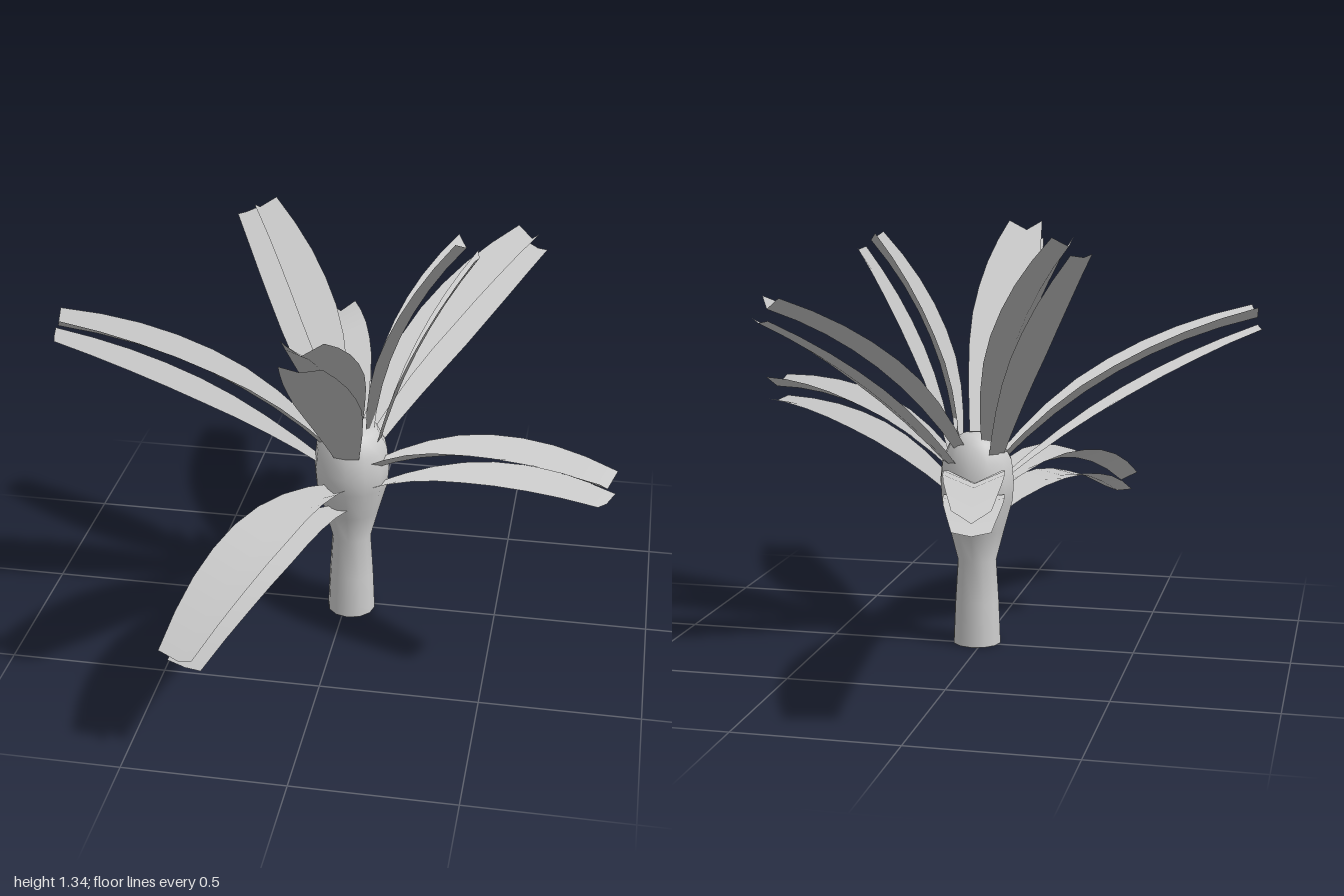
import * as THREE from 'three';

const leafMaterial = new THREE.MeshStandardMaterial({ color: 0xcccccc, side: THREE.DoubleSide });
leafMaterial.name = 'pale grey';

const CENTRE = 0.02; // the stem stands at x = z = 0.02
const ROWS = 8;
const WIDTHS = [0.35, 0.55, 0.74, 0.9, 1, 0.99, 0.92, 0.78, 0.6];

// One arched blade: a bezier spine with a V-shaped cross-section
function blade({ base, tip, bulge, halfWidth, fold }) {
  const dx = tip[0] - CENTRE, dz = tip[2] - CENTRE;
  const reach = Math.hypot(dx, dz);
  const ox = dx / reach, oz = dz / reach;
  const p0 = new THREE.Vector2(base[0], base[1]);
  const p2 = new THREE.Vector2(reach, tip[1]);
  const chord = p2.clone().sub(p0).normalize();
  const p1 = p0.clone().add(p2).multiplyScalar(0.5)
    .add(new THREE.Vector2(-chord.y, chord.x).multiplyScalar(bulge * 2));
  const spine = new THREE.QuadraticBezierCurve(p0, p1, p2);

  const positions = [], normals = [], indices = [];
  for (let i = 0; i <= ROWS; i++) {
    const t = i / ROWS;
    const p = spine.getPoint(t), d = spine.getTangent(t);
    const w = halfWidth * WIDTHS[i];
    const lift = fold * Math.min(1, 0.5 + t * 1.5);
    // soft foliage normals: upward, leaning outward, more so where the blade droops
    const lean = 0.12 + Math.max(0, -d.y);
    const normal = new THREE.Vector3(ox * lean, 1, oz * lean).normalize();
    for (const s of [-1, 0, 1]) {
      const up = Math.abs(s) * lift;
      const r = p.x - d.y * up, y = p.y + d.x * up;
      positions.push(CENTRE + ox * r - oz * w * s, y, CENTRE + oz * r + ox * w * s);
      normals.push(normal.x, normal.y, normal.z);
    }
    if (i === ROWS) continue;
    for (let k = 0; k < 2; k++) {
      const a = i * 3 + k, b = a + 1, c = a + 3, e = a + 4;
      indices.push(a, b, c, b, e, c);
    }
  }
  const geometry = new THREE.BufferGeometry();
  geometry.setAttribute('position', new THREE.Float32BufferAttribute(positions, 3));
  geometry.setAttribute('normal', new THREE.Float32BufferAttribute(normals, 3));
  geometry.setIndex(indices);
  return new THREE.Mesh(geometry, leafMaterial);
}

// Each leaf: upper and lower tip, base heights, arch of both blades, half width
const LEAVES = [
  { name: 'backLeaf', up: [-0.195, 0.63, -0.99], low: [-0.19, 0.59, -0.97], y: [0.49, 0.45], bulge: [0.08, 0.075], w: 0.09 },
  { name: 'backLeftLeaf', up: [0.53, 1.14, -0.53], low: [0.55, 1.1, -0.55], y: [0.63, 0.58], bulge: [0.065, 0.04], w: 0.085 },
  { name: 'leftUprightLeaf', up: [0.37, 1.31, 0.025], low: [0.41, 1.28, 0.025], y: [0.65, 0.6], bulge: [0.06, 0.035], w: 0.078 },
  { name: 'frontLeftLeaf', up: [0.845, 0.76, 0.45], low: [0.845, 0.71, 0.45], y: [0.54, 0.48], bulge: [0.075, 0.065], w: 0.085 },
  { name: 'frontLeaf', up: [0.025, 1.3, 0.85], low: [0.025, 1.26, 0.865], y: [0.63, 0.58], bulge: [0.067, 0.035], w: 0.1 },
  { name: 'frontDroopingLeaf', up: [-0.315, 0.37, 0.965], low: [-0.305, 0.335, 0.94], y: [0.47, 0.41], bulge: [0.108, 0.095], w: 0.095 },
  { name: 'rightLeaf', up: [-0.85, 1.065, 0.26], low: [-0.865, 1.025, 0.265], y: [0.59, 0.54], bulge: [0.073, 0.04], w: 0.088 },
  { name: 'backRightUprightLeaf', up: [-0.315, 1.315, -0.205], low: [-0.365, 1.285, -0.235], y: [0.65, 0.6], bulge: [0.065, 0.035], w: 0.08 },
];

export function createModel() {
  const model = new THREE.Group();
  model.name = 'plant';

  // Stem: flared foot, narrow neck and a bulb where the leaves grow
  const profile = [
    [0, 0], [0.079, 0], [0.079, 0.001], [0.073, 0.14], [0.064, 0.28], [0.09, 0.38], [0.118, 0.48],
    [0.122, 0.54], [0.115, 0.61], [0.085, 0.67], [0.045, 0.695], [0, 0.7],
  ].map(([r, y]) => new THREE.Vector2(r, y));
  const stem = new THREE.Mesh(new THREE.LatheGeometry(profile, 12), leafMaterial);
  stem.name = 'stem';
  stem.position.set(CENTRE, 0, CENTRE);
  model.add(stem);

  // Leaves: a folded upper blade above a nearly flat lower one
  for (const { name, up, low, y, bulge, w } of LEAVES) {
    const leaf = new THREE.Group();
    leaf.name = name;
    const upper = blade({ base: [0.07, y[0]], tip: up, bulge: bulge[0], halfWidth: w, fold: 0.038 });
    upper.name = 'upperBlade';
    const lower = blade({ base: [0.085, y[1]], tip: low, bulge: bulge[1], halfWidth: w, fold: 0.012 });
    lower.name = 'lowerBlade';
    leaf.add(upper, lower);
    model.add(leaf);
  }
  return model;
}
